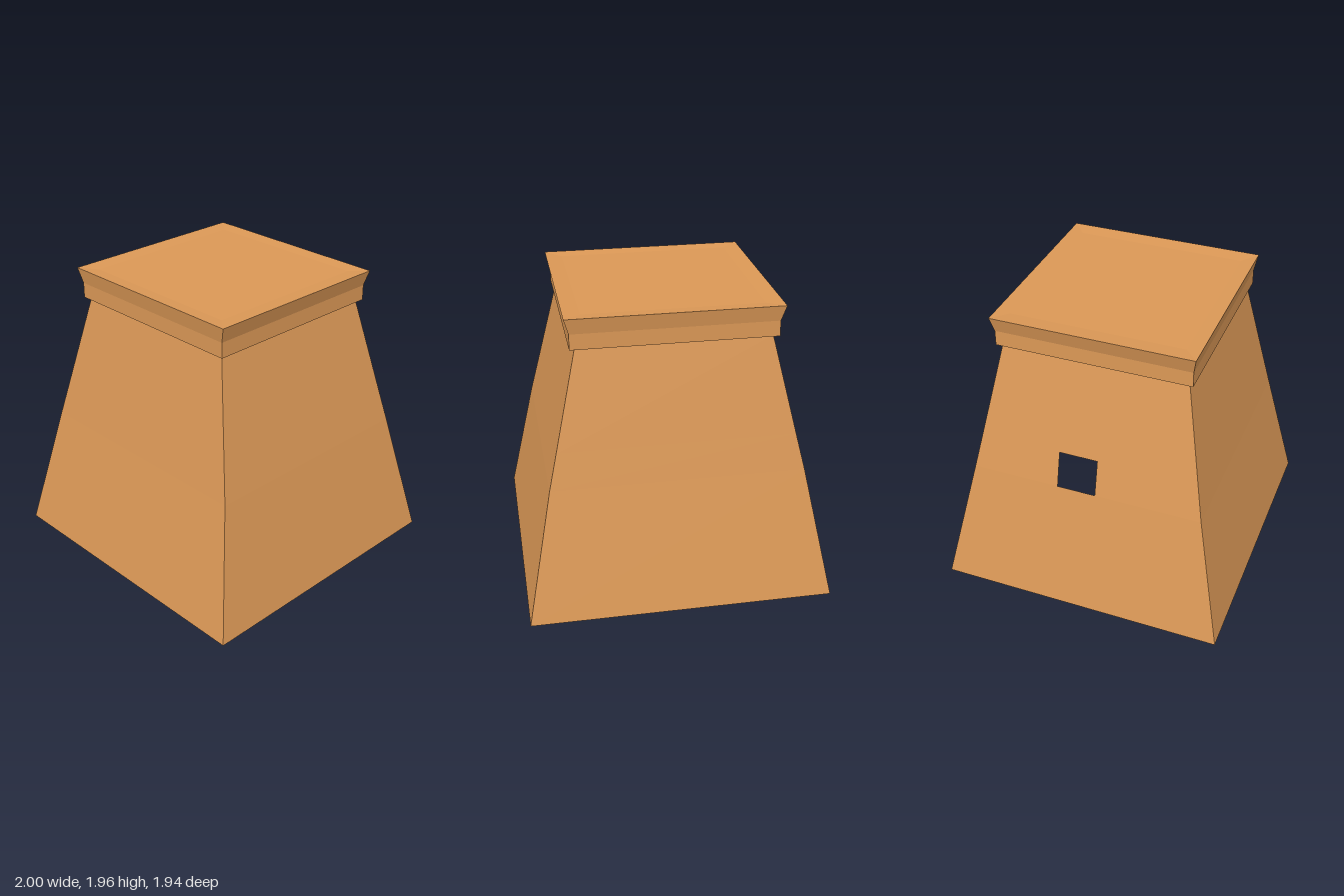
import * as THREE from 'three';

// Flat-sided surface from a list of four-cornered panels (counter-clockwise from outside)
function panelMesh(name, quads, material) {
  const pos = [];
  for (const [a, b, c, d] of quads) pos.push(...a, ...b, ...c, ...a, ...c, ...d);
  const geo = new THREE.BufferGeometry();
  geo.setAttribute('position', new THREE.Float32BufferAttribute(pos, 3));
  geo.computeVertexNormals();
  const mesh = new THREE.Mesh(geo, material);
  mesh.name = name;
  return mesh;
}

// Corners of a rectangular cross-section: [height, half width, half depth]
const ring = ([y, hx, hz]) => [[hx, y, hz], [hx, y, -hz], [-hx, y, -hz], [-hx, y, hz]];

// Panels joining successive cross-sections; skip(row, side) leaves a panel out
function loft(rows, skip = () => false) {
  const quads = [];
  for (let r = 0; r < rows.length - 1; r++) {
    const lo = ring(rows[r]), hi = ring(rows[r + 1]);
    for (let s = 0; s < 4; s++) {
      const n = (s + 1) % 4;
      if (!skip(r, s)) quads.push([lo[s], lo[n], hi[n], hi[s]]);
    }
  }
  return quads;
}

export function createModel() {
  const group = new THREE.Group();
  group.name = 'tower';
  const clay = new THREE.MeshStandardMaterial({ color: 0xdb9856, side: THREE.DoubleSide });
  clay.name = 'clay';

  // Tapered open shell, with a window opening in the -x wall
  const wall = [[0, 1, 0.97], [0.87, 0.825, 0.785], [1.11, 0.769, 0.738], [1.755, 0.62, 0.613]];
  const quads = loft(wall, (row, side) => row === 1 && side === 2);
  const [, [y0, x0, d0], [y1, x1, d1]] = wall;
  const strip = (z0, z1, z2, z3) => [[-x0, y0, z0], [-x0, y0, z1], [-x1, y1, z2], [-x1, y1, z3]];
  quads.push(strip(-d0, -0.19, -0.19, -d1), strip(0.07, d0, d1, 0.07));
  group.add(panelMesh('walls', quads, clay));

  // Cap: underside ledge, upright band, flared lip and shallow recessed top
  const cap = [
    [1.755, 0.62, 0.613], [1.755, 0.655, 0.645], [1.857, 0.655, 0.645],
    [1.96, 0.685, 0.665], [1.952, 0.575, 0.572],
  ];
  group.add(panelMesh('cap', [...loft(cap), ring(cap[4])], clay));
  return group;
}
